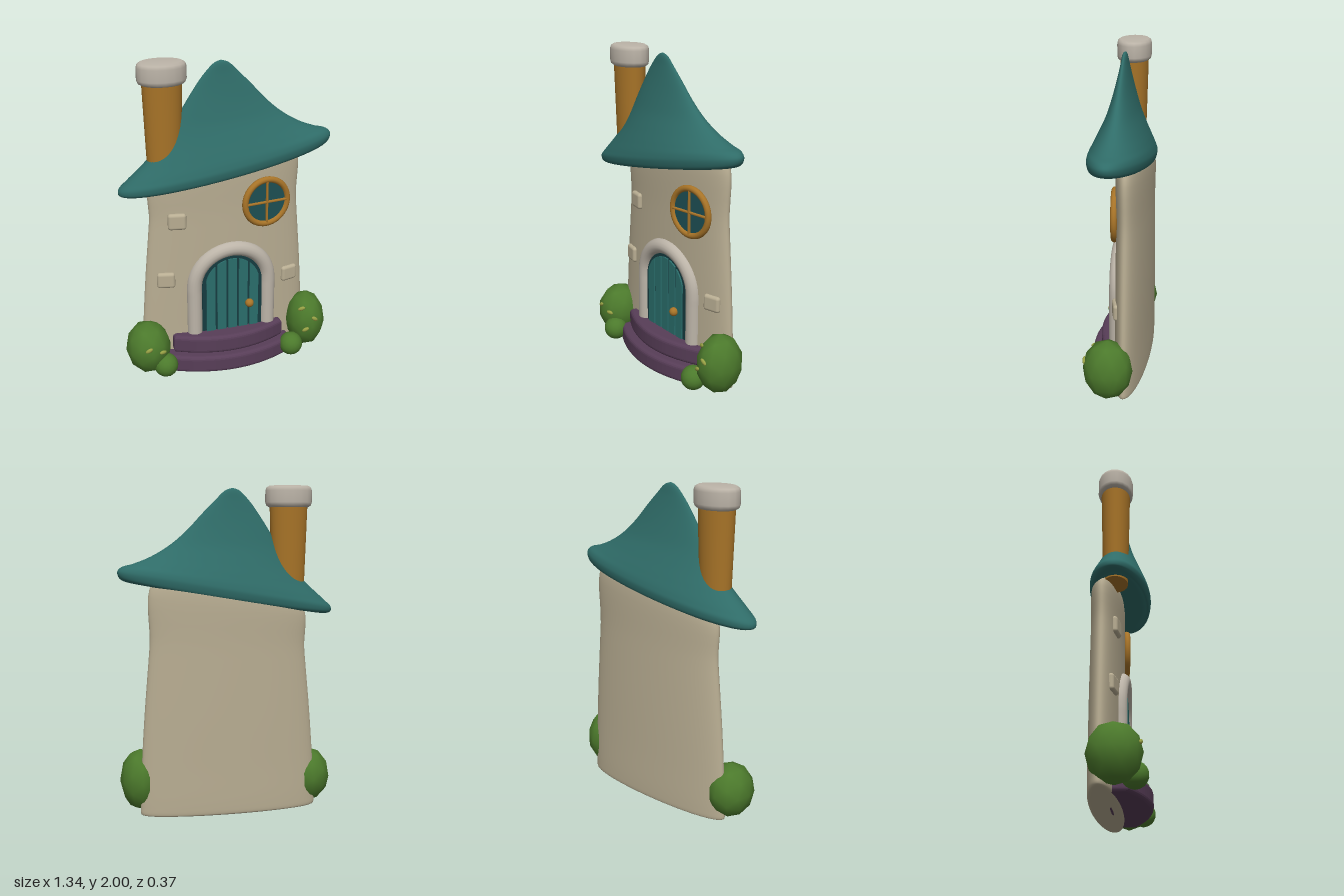
import * as THREE from 'three';
import { RoundedBoxGeometry } from 'three/addons/geometries/RoundedBoxGeometry.js';

const V = (x, y, z) => new THREE.Vector3(x, y, z);
const mat = (color) => new THREE.MeshStandardMaterial({ color });
const WALL = mat(0xb8ad92), TRIM = mat(0xbcb4a8), TEAL = mat(0x2f6c68), DOOR = mat(0x2a6e6c), DARK = mat(0x163c40),
  GLASS = mat(0x1d5054), WOOD = mat(0xa87428), PURPLE = mat(0x573d57), GREEN = mat(0x4c7a2c), LEAF = mat(0x97a044);

function add(parent, name, geometry, material, x = 0, y = 0, z = 0) {
  const m = new THREE.Mesh(geometry, material);
  m.name = name;
  m.position.set(x, y, z);
  parent.add(m);
  return m;
}

// Skin over tilted oval rings, listed top to bottom: [left x, left y, right x, right y, half depth]
function ovalSkin(rings, cz, steps, segs = 64) {
  const left = new THREE.CatmullRomCurve3(rings.map((r) => V(r[0], r[1], r[4])));
  const right = new THREE.CatmullRomCurve3(rings.map((r) => V(r[2], r[3], r[4])));
  const pos = [], idx = [];
  for (let i = 0; i <= steps; i++) {
    const a = left.getPoint(i / steps), b = right.getPoint(i / steps);
    for (let j = 0; j < segs; j++) {
      const t = (j / segs) * Math.PI * 2, k = (1 + Math.cos(t)) / 2;
      pos.push(a.x + (b.x - a.x) * k, a.y + (b.y - a.y) * k, cz + Math.max(a.z, 0) * Math.sin(t));
      if (i < steps) {
        const n = (j + 1) % segs, p = i * segs, q = p + segs;
        idx.push(p + j, p + n, q + j, p + n, q + n, q + j);
      }
    }
  }
  const g = new THREE.BufferGeometry();
  g.setAttribute('position', new THREE.Float32BufferAttribute(pos, 3));
  g.setIndex(idx);
  g.computeVertexNormals();
  return g;
}

// Front surface of the oval wall, and its turn to the side
const halfWidth = (y) => 0.568 - 0.081 * y;
const wallZ = (x, y) => -0.08 + 0.1 * Math.sqrt(Math.max(0, 1 - (x / halfWidth(y)) ** 2));
const wallYaw = (x, y) => Math.atan2(wallZ(x - 0.01, y) - wallZ(x + 0.01, y), 0.02);

// Step with a bowed front edge
function stepGeometry(hw, zSide, zFront, h) {
  const b = 0.025, s = new THREE.Shape();
  s.moveTo(-hw + b, 0.05);
  s.lineTo(-hw + b, -zSide + b);
  s.quadraticCurveTo(0, -(2 * zFront - zSide) + b, hw - b, -zSide + b);
  s.lineTo(hw - b, 0.05);
  const g = new THREE.ExtrudeGeometry(s, {
    depth: h - 2 * b, bevelSize: b, bevelThickness: b, bevelSegments: 4, curveSegments: 24 });
  return g.rotateX(-Math.PI / 2).translate(0, b, 0);
}

// Arched door outline standing on y = 0
function archShape(r, spring) {
  const s = new THREE.Shape();
  s.moveTo(-r, 0);
  s.lineTo(r, 0);
  s.lineTo(r, spring);
  s.absarc(0, spring, r, 0, Math.PI, false);
  s.lineTo(-r, 0);
  return s;
}

export function createModel() {
  const house = new THREE.Group();
  house.name = 'cottage';

  // Wall: tapered oval tower with a sloping top
  add(house, 'wall', ovalSkin([
    [0, 1.35, 0, 1.35, 0], [-0.455, 1.28, 0.455, 1.43, 0.093], [-0.478, 1.0, 0.485, 1.05, 0.097],
    [-0.515, 0.62, 0.522, 0.62, 0.1], [-0.54, 0.3, 0.543, 0.3, 0.1], [-0.553, 0.06, 0.553, 0.06, 0.1],
    [-0.55, 0.01, 0.55, 0.01, 0.097], [-0.53, 0, 0.53, 0, 0.09], [0, 0.005, 0, 0.005, 0],
  ], -0.08, 48), WALL);

  // Roof: swooping pointed hat, tilted, with a rolled rim
  add(house, 'roof', ovalSkin([
    [-0.04, 1.985, -0.04, 1.985, 0], [-0.08, 1.97, 0.005, 1.97, 0.012], [-0.15, 1.9, 0.07, 1.91, 0.023],
    [-0.215, 1.81, 0.15, 1.83, 0.04], [-0.27, 1.725, 0.24, 1.735, 0.062], [-0.335, 1.62, 0.34, 1.65, 0.09],
    [-0.42, 1.5, 0.46, 1.578, 0.13], [-0.52, 1.395, 0.57, 1.535, 0.162], [-0.625, 1.3, 0.64, 1.515, 0.182],
    [-0.67, 1.255, 0.662, 1.488, 0.187], [-0.668, 1.226, 0.65, 1.45, 0.181], [-0.62, 1.216, 0.6, 1.425, 0.168],
    [-0.5, 1.265, 0.5, 1.43, 0.135], [0, 1.37, 0, 1.37, 0],
  ], 0, 78), TEAL);

  // Chimney: tapered oval shaft and rounded cap
  const chimney = new THREE.Group();
  chimney.name = 'chimney';
  chimney.position.set(-0.389, 0, -0.004);
  house.add(chimney);
  add(chimney, 'chimneyShaft', new THREE.CylinderGeometry(0.118, 0.098, 0.64, 32), WOOD, 0, 1.58).scale.z = 0.75;
  const cap = [[0, 0], [0.12, 0], [0.138, 0.01], [0.145, 0.03], [0.145, 0.1], [0.138, 0.12], [0.12, 0.13], [0, 0.13]];
  add(chimney, 'chimneyCap', new THREE.LatheGeometry(cap.map((p) => new THREE.Vector2(...p)), 18), TRIM, 0, 1.87)
    .scale.z = 0.74;

  // Front steps
  add(house, 'lowerStep', stepGeometry(0.42, 0.08, 0.185, 0.115), PURPLE);
  add(house, 'upperStep', stepGeometry(0.367, 0.045, 0.135, 0.12), PURPLE, 0, 0.11);

  // Door: dark backing, planks trimmed to the arch, knob
  const door = new THREE.Group();
  door.name = 'door';
  door.position.set(0.025, 0.225, 0);
  house.add(door);
  const flat = { depth: 0.05, bevelEnabled: false, curveSegments: 24 };
  add(door, 'doorBacking', new THREE.ExtrudeGeometry(archShape(0.2, 0.32), flat), DARK, 0, 0, -0.025);
  const r = 0.18, w = (2 * r) / 5, gap = 0.007;
  for (let i = 0; i < 5; i++) {
    const x0 = -r + i * w + gap, x1 = x0 + w - 2 * gap, plank = new THREE.Shape();
    plank.moveTo(x0, 0);
    plank.lineTo(x1, 0);
    for (let k = 0; k <= 8; k++) {
      const x = x1 + ((x0 - x1) * k) / 8;
      plank.lineTo(x, 0.32 + Math.sqrt(r * r - x * x));
    }
    add(door, 'doorPlank', new THREE.ExtrudeGeometry(plank, flat), DOOR, 0, 0, -0.015);
  }
  add(door, 'doorKnob', new THREE.SphereGeometry(0.028, 20, 14), WOOD, 0.11, 0.175, 0.047);

  // Thick stone arch following the curve of the wall
  const arch = [];
  const archPoint = (x, y) => arch.push(V(0.025 + x, y, wallZ(0.025 + x, y) - 0.008));
  for (const y of [0.2, 0.3, 0.4, 0.48]) archPoint(0.246, y);
  for (let k = 0; k <= 12; k++) {
    const a = (k / 12) * Math.PI;
    archPoint(0.246 * Math.cos(a), 0.545 + 0.246 * Math.sin(a));
  }
  for (const y of [0.48, 0.4, 0.3, 0.2]) archPoint(-0.246, y);
  add(house, 'doorArch', new THREE.TubeGeometry(new THREE.CatmullRomCurve3(arch), 64, 0.049, 16), TRIM);

  // Round window with cross bars
  const win = new THREE.Group();
  win.name = 'window';
  win.position.set(0.25, 1.08, wallZ(0.25, 1.08) + 0.008);
  win.rotation.y = wallYaw(0.25, 1.08);
  house.add(win);
  add(win, 'windowRing', new THREE.TorusGeometry(0.145, 0.02, 12, 48), WOOD);
  add(win, 'windowGlass', new THREE.CylinderGeometry(0.145, 0.145, 0.03, 40).rotateX(Math.PI / 2), GLASS, 0, 0, -0.01);
  for (const turn of [0, Math.PI / 2]) {
    add(win, 'windowBar', new RoundedBoxGeometry(0.28, 0.014, 0.02, 2, 0.005), WOOD, 0, 0, 0.008).rotation.z = turn;
  }

  // Loose stones set in the wall
  for (const [x, y, h] of [[-0.32, 1.01, 0.105], [-0.397, 0.617, 0.103], [0.425, 0.545, 0.103]]) {
    add(house, 'wallStone', new RoundedBoxGeometry(0.114, h, 0.04, 4, 0.019), WALL, x, y, wallZ(x, y))
      .rotation.y = wallYaw(x, y);
  }

  // Bushes beside the door, each with a small companion and pale leaves
  const bushes = [
    { at: [-0.53, 0.175, 0.003], size: [0.144, 0.173, 0.155], small: [-0.442, 0.08, 0.105],
      leaves: [[-0.555, 0.225, 0.5], [-0.465, 0.193, -0.1]] },
    { at: [0.54, 0.205, 0.01], size: [0.128, 0.192, 0.15], small: [0.408, 0.08, 0.105],
      leaves: [[0.555, 0.262, -0.6], [0.495, 0.19, 0.5], [0.48, 0.325, 0.4]] },
  ];
  for (const { at, size, small, leaves } of bushes) {
    add(house, 'bush', new THREE.IcosahedronGeometry(1, 1), GREEN, ...at).scale.set(...size);
    add(house, 'smallBush', new THREE.IcosahedronGeometry(0.077, 2), GREEN, ...small);
    for (const [x, y, tilt] of leaves) {
      const u = (x - at[0]) / size[0], v = (y - at[1]) / size[1];
      const z = at[2] + size[2] * Math.sqrt(1 - u * u - v * v) * 0.97;
      const leaf = add(house, 'leaf', new THREE.SphereGeometry(1, 10, 8), LEAF, x, y, z);
      leaf.scale.set(0.026, 0.013, 0.01);
      leaf.rotation.set(0, u * 0.8, tilt);
    }
  }
  return house;
}
